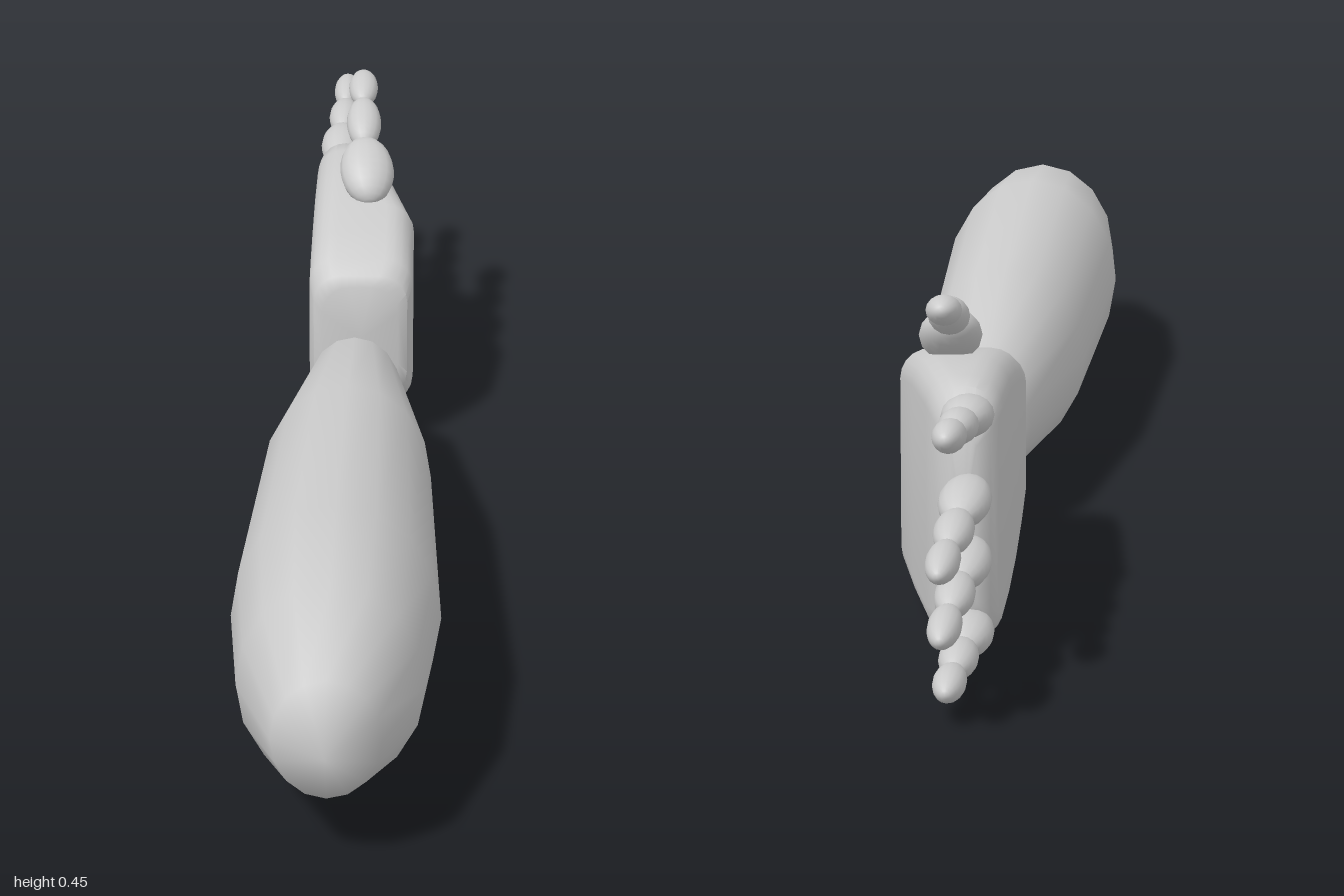
import * as THREE from 'three';
import { toCreasedNormals } from 'three/addons/utils/BufferGeometryUtils.js';

const material = new THREE.MeshStandardMaterial({ color: 0xcccccc });
const V = (x, y, z) => new THREE.Vector3(x, y, z);

function addMesh(parent, name, geometry) {
  const mesh = new THREE.Mesh(geometry, material);
  mesh.name = name;
  parent.add(mesh);
  return mesh;
}

// Skin over rings that run towards -z, closed by a point at each end.
function loft(rings, first, last) {
  const n = rings[0].length;
  const points = [...rings.flat(), first, last];
  const a = points.length - 2, b = a + 1, end = (rings.length - 1) * n;
  const index = [];
  for (let j = 0; j < n; j++) {
    const k = (j + 1) % n;
    index.push(a, j, k, b, end + k, end + j);
    for (let i = 0; i < end; i += n) {
      index.push(i + j, i + n + j, i + k, i + k, i + n + j, i + n + k);
    }
  }
  const geometry = new THREE.BufferGeometry().setFromPoints(points);
  geometry.setIndex(index);
  geometry.computeVertexNormals();
  return geometry;
}

// Rounded rectangle in x and y at depth z.
function roundedRing([z, y0, y1, x0, x1], radius = 0.04, steps = 5) {
  const r = Math.min(radius, (x1 - x0) * 0.48, (y1 - y0) * 0.48);
  const ring = [];
  [[x1 - r, y1 - r], [x0 + r, y1 - r], [x0 + r, y0 + r], [x1 - r, y0 + r]].forEach(([cx, cy], q) => {
    for (let i = 0; i <= steps; i++) {
      const t = (q + i / steps) * Math.PI / 2;
      ring.push(V(cx + r * Math.cos(t), cy + r * Math.sin(t), z));
    }
  });
  return ring;
}

// Uneven egg: short rounded elbow end, long taper to the wrist.
function forearmGeometry() {
  const axisY = z => 0.147 + 0.028 * z;
  const rings = [];
  for (let i = 1; i < 6; i++) {
    const t = i * Math.PI / 6;
    const z = 0.62 + Math.cos(t) * (i < 3 ? 0.38 : 0.88);
    rings.push(Array.from({ length: 16 }, (_, j) => {
      const u = j * Math.PI / 8;
      return V(0.13 * Math.sin(t) * Math.cos(u), axisY(z) + 0.154 * Math.sin(t) * Math.sin(u), z);
    }));
  }
  return loft(rings, V(0, axisY(1), 1), V(0, axisY(-0.26), -0.26));
}

// Chain of slightly overlapping ellipsoids along a list of joints.
function addDigit(parent, name, joints, widths, heights) {
  const digit = new THREE.Group();
  digit.name = name;
  for (let i = 0; i < joints.length - 1; i++) {
    const from = V(...joints[i]), to = V(...joints[i + 1]);
    const bone = addMesh(digit, `${name}Phalanx${i + 1}`, new THREE.SphereGeometry(1, 16, 12).rotateX(Math.PI / 2));
    bone.scale.set(widths[i], heights[i], from.distanceTo(to) / 2 + (i < 2 ? 0.008 : 0));
    bone.position.copy(from).add(to).multiplyScalar(0.5);
    bone.lookAt(to);
  }
  parent.add(digit);
}

export function createModel() {
  const model = new THREE.Group();
  model.name = 'arm';
  addMesh(model, 'forearm', forearmGeometry());

  const hand = new THREE.Group();
  hand.name = 'hand';
  model.add(hand);

  // Palm sections: z, bottom, top, back of hand, inside of hand
  const sections = [
    [-0.257, 0.092, 0.25, -0.05, 0.06],
    [-0.264, 0.076, 0.265, -0.063, 0.073],
    [-0.285, 0.058, 0.284, -0.07, 0.08],
    [-0.34, 0.035, 0.304, -0.07, 0.08],
    [-0.41, 0.015, 0.32, -0.07, 0.08],
    [-0.5, 0.002, 0.335, -0.07, 0.054],
    [-0.6, 0, 0.338, -0.07, 0.026],
    [-0.64, 0.01, 0.335, -0.068, 0.014],
    [-0.662, 0.03, 0.315, -0.06, 0.002],
    [-0.674, 0.06, 0.28, -0.045, -0.012],
  ];
  const palm = loft(sections.map(s => roundedRing(s)), V(0.005, 0.17, -0.257), V(-0.028, 0.17, -0.676));
  addMesh(hand, 'palm', toCreasedNormals(palm, 0.7));

  // Fingers: name, start z and y, end z and y
  const fingers = [
    ['indexFinger', -0.64, 0.305, -0.92, 0.347],
    ['middleFinger', -0.66, 0.217, -1.0, 0.211],
    ['ringFinger', -0.66, 0.14, -0.982, 0.127],
    ['littleFinger', -0.64, 0.038, -0.926, 0.044],
  ];
  for (const [name, z0, y0, z1, y1] of fingers) {
    const joints = [0, 0.37, 0.67, 1].map(t => [-0.036 + 0.003 * t, y0 + (y1 - y0) * t, z0 + (z1 - z0) * t]);
    addDigit(hand, name, joints, [0.032, 0.024, 0.02], [0.026, 0.022, 0.02]);
  }

  // Thumb
  addDigit(hand, 'thumb',
    [[0.014, 0.325, -0.425], [0.004, 0.382, -0.51], [0, 0.417, -0.59], [-0.002, 0.437, -0.676]],
    [0.04, 0.026, 0.022], [0.029, 0.023, 0.019]);

  return model;
}
